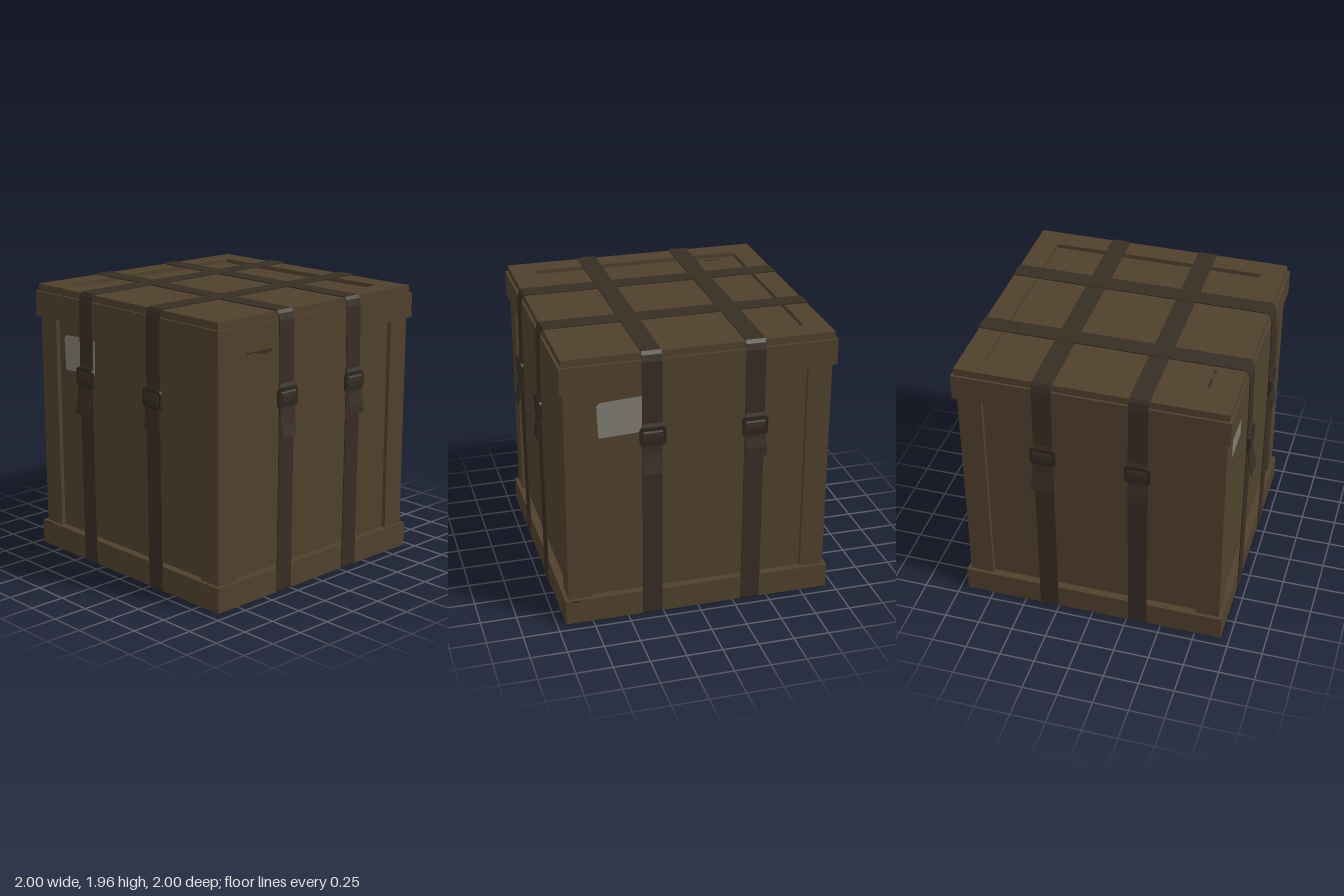
import * as THREE from 'three';

const mat = (name, color) => {
  const m = new THREE.MeshStandardMaterial({ color });
  m.name = name;
  return m;
};

export function createModel() {
  const model = new THREE.Group();
  model.name = 'strappedCrate';
  const wood = mat('brown crate', 0x4f402c);
  const webbing = mat('dark webbing', 0x372d23);
  const metal = mat('dark buckle', 0x2e261e);
  const paper = mat('grey label', 0x7f7c70);

  const add = (parent, name, geo, material, x = 0, y = 0, z = 0) => {
    const m = new THREE.Mesh(geo, material);
    m.name = name;
    m.position.set(x, y, z);
    parent.add(m);
    return m;
  };
  const slab = (name, half, y0, y1) =>
    add(model, name, new THREE.BoxGeometry(half * 2, y1 - y0, half * 2), wood, 0, (y0 + y1) / 2, 0);
  const toShape = (pts) => new THREE.Shape(pts.map((p) => new THREE.Vector2(p[0], p[1])));
  const square = (h) => [[-h, -h], [h, -h], [h, h], [-h, h]];
  const extrude = (shape, depth) =>
    new THREE.ExtrudeGeometry(shape, { depth, bevelEnabled: false, curveSegments: 5 });

  // Square rim with an open middle, lying flat
  const rim = (name, outer, inner, y0, y1) => {
    const shape = toShape(square(outer));
    shape.holes.push(toShape(square(inner)));
    add(model, name, extrude(shape, y1 - y0).rotateX(-Math.PI / 2), wood, 0, y0, 0);
  };

  // Crate: recessed core, corner posts, base and stepped lid
  slab('corePanels', 0.885, 0.1, 1.8);
  for (const sx of [-1, 1]) for (const sz of [-1, 1])
    add(model, 'cornerPost', new THREE.BoxGeometry(0.167, 1.64, 0.167), wood, sx * 0.8315, 0.95, sz * 0.8315);
  slab('baseBand', 0.94, 0.04, 0.185);
  rim('baseRim', 0.94, 0.76, 0.01, 0.04);
  slab('lidBand', 0.94, 1.72, 1.9);
  slab('lidPanel', 0.77, 1.89, 1.92);
  rim('lidRim', 0.923, 0.76, 1.9, 1.95);

  // Strap: closed loop around the crate, slightly bowed at the sides
  const strapLoop = (t, lift) => {
    const side = [[0.932, lift + t], [0.95 - t, 0.022], [0.953 - t, 0.6], [0.956 - t, 1.1],
      [0.954 - t, 1.5], [0.95 - t, 1.89], [0.94 - t, 1.935], [0.926 - t / 2, 1.96 - lift - t]];
    return toShape([...side, ...side.map(([x, y]) => [-x, y]).reverse()]);
  };
  const strap = (pos, alongZ) => {
    const lift = alongZ ? 0 : 0.003;
    const shape = strapLoop(0, lift);
    shape.holes.push(strapLoop(0.007, lift));
    const geo = extrude(shape, 0.135).translate(0, 0, -0.0675);
    if (alongZ) geo.rotateY(-Math.PI / 2);
    add(model, 'strap', geo, webbing, alongZ ? pos : 0, 0, alongZ ? 0 : pos);
  };
  strap(-0.368, true);
  strap(0.333, true);
  strap(-0.316, false);
  strap(0.335, false);

  // Ribbon: thin strip following [z, y] points, as wide as the strap
  const ribbon = (pts, width, t = 0.007) => {
    const back = pts.map(([z, y]) => [z - t, y]).reverse();
    return extrude(toShape([...pts, ...back]), width).translate(0, 0, -width / 2).rotateY(-Math.PI / 2);
  };

  const roundedRect = (w, h, r) => {
    const s = new THREE.Shape();
    const x = w / 2, y = h / 2;
    s.moveTo(-x + r, -y).lineTo(x - r, -y).quadraticCurveTo(x, -y, x, -y + r);
    s.lineTo(x, y - r).quadraticCurveTo(x, y, x - r, y);
    s.lineTo(-x + r, y).quadraticCurveTo(-x, y, -x, y - r);
    s.lineTo(-x, -y + r).quadraticCurveTo(-x, -y, -x + r, -y);
    return s;
  };

  // Buckle with the strap humped through it and a loose hanging tail
  const buckle = (face, u, y, tailBottom, reach, lean) => {
    const g = new THREE.Group();
    g.name = 'buckle';
    g.position.set(u, y, 0);
    face.add(g);
    const frame = roundedRect(0.178, 0.135, 0.03);
    frame.holes.push(roundedRect(0.134, 0.082, 0.012));
    add(g, 'buckleFrame', extrude(frame, 0.018), metal, 0, 0, 0.954);
    add(g, 'buckleBar', new THREE.BoxGeometry(0.15, 0.022, 0.014), metal, 0, -0.005, 0.966);
    add(g, 'strapHump', ribbon([[0.955, 0.09], [0.966, 0.055], [0.977, 0.03], [0.98, 0],
      [0.977, -0.03], [0.966, -0.055], [0.962, -0.07]], 0.132, 0.012), webbing);
    const drop = tailBottom - y;
    const tail = ribbon([[0.965, -0.05], [0.972, drop * 0.45], [0.983, drop * 0.7], [reach, drop]], 0.138);
    const p = tail.attributes.position;
    for (let i = 0; i < p.count; i++) p.setX(i, p.getX(i) + lean * (p.getY(i) / drop));
    add(g, 'strapTail', tail, webbing);
  };

  // Small wear mark as a thin ragged plate
  const mark = (parent, pts, x, y, z) => add(parent, 'wearMark', extrude(toShape(pts), 0.002), webbing, x, y, z);

  // Four faces: front, right-hand, back, left-hand
  const firstU = [-0.368, -0.335, -0.333, -0.316];
  const secondU = [0.333, 0.316, 0.368, 0.335];
  for (let i = 0; i < 4; i++) {
    const face = new THREE.Group();
    face.name = 'sideFittings';
    face.rotation.y = i * Math.PI / 2;
    model.add(face);
    buckle(face, firstU[i], i % 2 ? 1.378 : 1.368, 1.11, 1.0, -0.012);
    buckle(face, secondU[i], i % 2 ? 1.37 : 1.355, 1.14, 0.987, 0.014);

    // Paper label on front and back, tucked behind the strap
    if (i % 2 === 0) {
      const label = toShape([[-0.67, 1.36], [-0.36, 1.375], [-0.35, 1.61], [-0.4, 1.628],
        [-0.67, 1.61], [-0.69, 1.59], [-0.68, 1.37]]);
      add(face, 'paperLabel', extrude(label, 0.004), paper, 0, 0, 0.885);
      mark(face, [[-0.91, 0.185], [-0.89, 0.172], [-0.85, 0.17], [-0.83, 0.185]], 0, 0, 0.9395);
    } else {
      mark(face, [[-0.65, 1.72], [-0.64, 1.69], [-0.57, 1.695], [-0.5, 1.675],
        [-0.42, 1.68], [-0.38, 1.72]], 0, 0, 0.8845);
    }
    mark(face, [[0.695, 1.715], [0.7, 1.698], [0.72, 1.698], [0.725, 1.715]], 0, 0, 0.8845);
  }

  // Wear marks on the lid panel
  for (const [x, w] of [[-0.58, 0.06], [-0.45, 0.03]])
    mark(model, [[-w, 0], [-w / 2, -0.01], [w / 2, -0.012], [w, 0], [w / 2, 0.008], [0, 0.004], [-w / 2, 0.01]],
      x, 1.9195, 0.715).rotation.x = -Math.PI / 2;

  return model;
}
